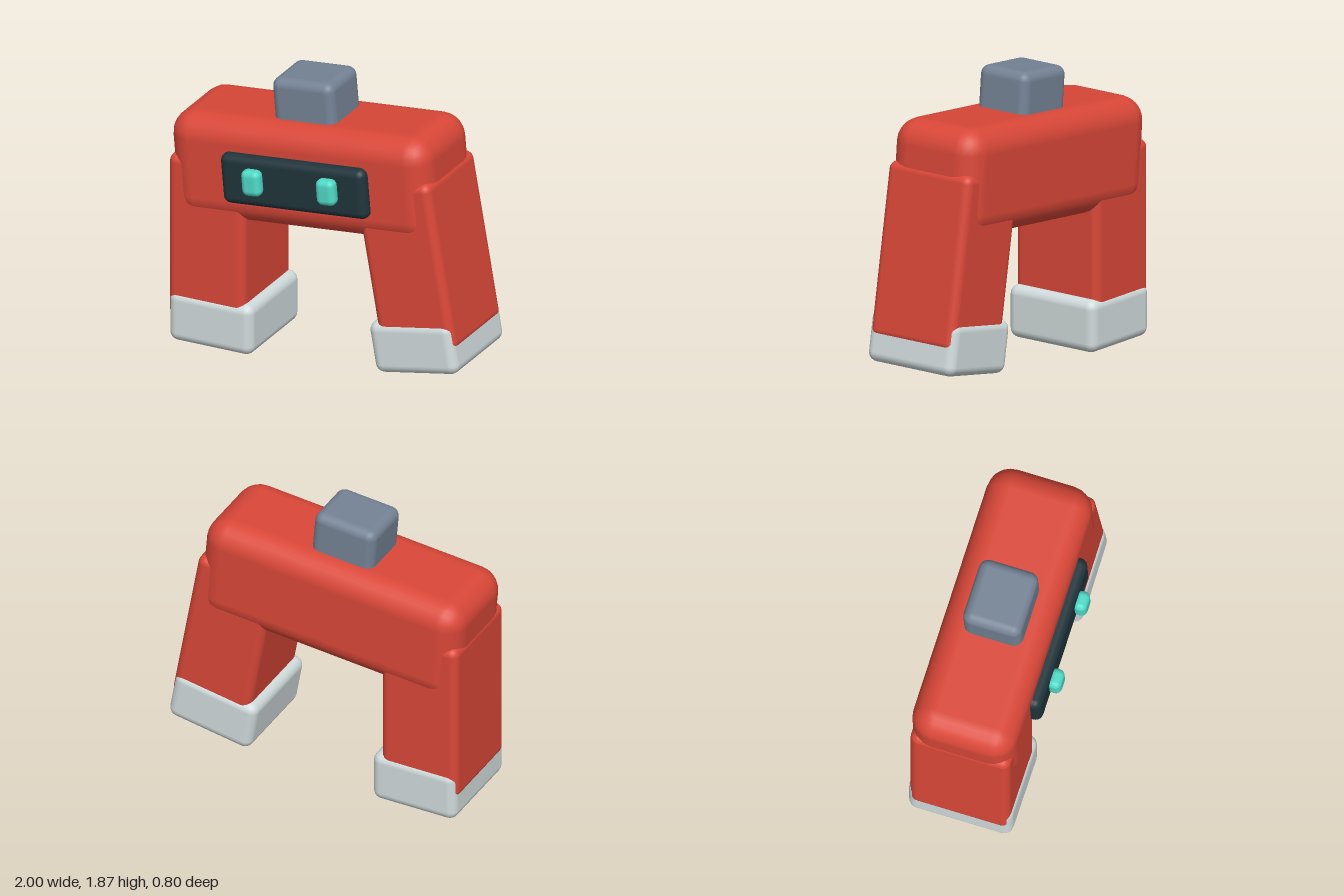
import * as THREE from 'three';
import { RoundedBoxGeometry } from 'three/addons/geometries/RoundedBoxGeometry.js';

const paint = (name, color) => {
  const m = new THREE.MeshStandardMaterial({ color });
  m.name = name;
  return m;
};

export function createModel() {
  const red = paint('red', 0xd94738);
  const paleGrey = paint('pale grey', 0xd0dadb);
  const slate = paint('slate grey', 0x748294);
  const dark = paint('dark teal', 0x20343b);
  const mint = paint('mint', 0x4fd8c6);

  const root = new THREE.Group();
  root.name = 'walkingRobot';
  const midZ = -0.068;

  // Softly bevelled block: size, bevel radius, position
  const block = (parent, name, material, [w, h, d], r, [x, y, z]) => {
    const mesh = new THREE.Mesh(new RoundedBoxGeometry(w, h, d, 3, r), material);
    mesh.name = name;
    mesh.position.set(x, y, z);
    parent.add(mesh);
  };

  // Tilted torso with head block, visor and eyes
  const torso = new THREE.Group();
  torso.name = 'torso';
  torso.position.set(-0.095, 1.25, midZ);
  torso.rotation.z = THREE.MathUtils.degToRad(5);
  root.add(torso);
  block(torso, 'body', red, [1.79, 0.69, 0.67], 0.155, [0, 0, 0]);
  block(torso, 'topBlock', slate, [0.427, 0.4, 0.377], 0.06, [0, 0.405, 0]);
  block(torso, 'visor', dark, [1.0, 0.33, 0.12], 0.05, [0, -0.012, 0.27 - midZ]);
  for (const [name, x] of [['rightEye', -0.26], ['leftEye', 0.255]]) {
    block(torso, name, mint, [0.13, 0.17, 0.09], 0.04, [x, 0.005, 0.356 - midZ]);
  }

  // Legs: group origin is the foot centre; side is the outward x direction
  const leg = (name, side, x, y, degrees) => {
    const group = new THREE.Group();
    group.name = name;
    group.position.set(x, y, midZ);
    group.rotation.z = THREE.MathUtils.degToRad(degrees);
    block(group, 'shin', red, [0.526, 1.1, 0.642], 0.055, [side * 0.032, 0.533, 0]);
    block(group, 'foot', paleGrey, [0.577, 0.336, 0.668], 0.06, [0, 0, 0]);
    root.add(group);
  };
  leg('rightLeg', -1, -0.7, 0.168, 0);
  leg('leftLeg', 1, 0.693, 0.288, 10);

  return root;
}
